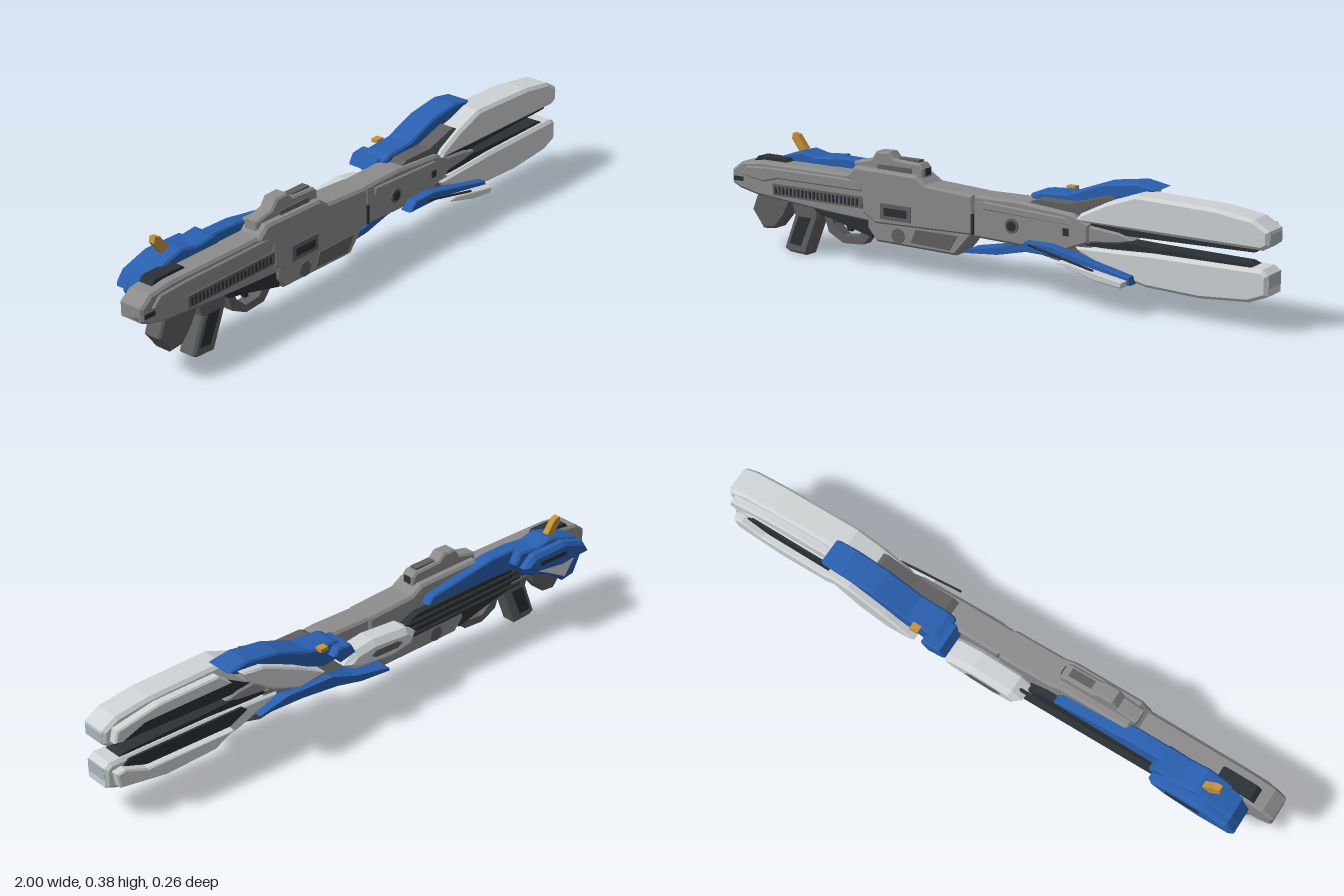
import * as THREE from 'three';

const mat = (name, color) => {
  const m = new THREE.MeshStandardMaterial({ color });
  m.name = name;
  return m;
};

export function createModel() {
  const root = new THREE.Group();
  root.name = 'rifle';
  const grey = mat('body grey', 0x8c8c8c);
  const dark = mat('dark grey', 0x606060);
  const black = mat('charcoal', 0x2b3135);
  const white = mat('pale grey', 0xcfd3d5);
  const blue = mat('blue', 0x2a60b0);
  const orange = mat('amber', 0xc8923a);
  const tint = mat('muzzle tint', 0xa9b6c0);

  // side profile extruded from z0 to z1, with chamfered rims of size b
  const plate = (name, m, pts, z0, z1, b = 0) => {
    const shape = new THREE.Shape(pts.map(p => new THREE.Vector2(p[0], p[1])));
    const g = new THREE.ExtrudeGeometry(shape, {
      depth: z1 - z0 - 2 * b, bevelEnabled: b > 0, bevelSize: b, bevelThickness: b,
      bevelOffset: -b, bevelSegments: 1,
    });
    g.translate(0, 0, z0 + b);
    const mesh = new THREE.Mesh(g, m);
    mesh.name = name;
    root.add(mesh);
    return mesh;
  };
  const box = (name, m, x0, x1, y0, y1, z0, z1) => {
    const mesh = new THREE.Mesh(new THREE.BoxGeometry(x1 - x0, y1 - y0, z1 - z0), m);
    mesh.position.set((x0 + x1) / 2, (y0 + y1) / 2, (z0 + z1) / 2);
    mesh.name = name;
    root.add(mesh);
    return mesh;
  };
  const disc = (name, m, x, y, z, r, h) => {
    const mesh = new THREE.Mesh(new THREE.CylinderGeometry(r, r, h, 20), m);
    mesh.rotation.x = Math.PI / 2;
    mesh.position.set(x, y, z);
    mesh.name = name;
    root.add(mesh);
  };
  const rod = (name, m, a, b, r) => {
    const A = new THREE.Vector3(...a), B = new THREE.Vector3(...b);
    const mesh = new THREE.Mesh(new THREE.CylinderGeometry(r, r, A.distanceTo(B), 8), m);
    mesh.position.copy(A).add(B).multiplyScalar(0.5);
    mesh.quaternion.setFromUnitVectors(new THREE.Vector3(0, 1, 0), B.sub(A).normalize());
    mesh.name = name;
    root.add(mesh);
  };

  // stock
  plate('stock', grey, [[-1, 0.215], [-1, 0.26], [-0.96, 0.29], [-0.88, 0.3], [-0.42, 0.3], [-0.42, 0.15],
    [-0.6, 0.16], [-0.78, 0.175], [-0.9, 0.185], [-0.97, 0.2]], -0.028, 0.063, 0.008);
  plate('stockTopRail', black, [[-0.93, 0.29], [-0.91, 0.31], [-0.8, 0.31], [-0.78, 0.29]], -0.02, 0.03);
  plate('stockCheekPanel', grey, [[-0.96, 0.25], [-0.93, 0.28], [-0.82, 0.285], [-0.45, 0.285], [-0.45, 0.25], [-0.8, 0.25], [-0.86, 0.235]], 0.055, 0.07, 0.004);
  box('stockSlot', black, -0.99, -0.95, 0.225, 0.24, 0.058, 0.066);
  box('buttPlate', dark, -1, -0.995, 0.22, 0.255, -0.015, 0.05);
  plate('stockHook', dark, [[-0.9, 0.19], [-0.925, 0.13], [-0.88, 0.07], [-0.83, 0.075], [-0.79, 0.12], [-0.76, 0.18]], -0.012, 0.052, 0.006);
  // ribbed side rail, both sides
  for (const z of [-0.03, 0.065]) {
    box('sideRail', dark, -0.82, -0.45, 0.193, 0.232, z - 0.004, z + 0.004);
    for (let i = 0; i < 22; i++) {
      const x = -0.81 + i * 0.016;
      box('railRib', black, x, x + 0.007, 0.2, 0.225, z - 0.007, z + 0.007);
    }
  }

  // grip and trigger guard
  plate('grip', dark, [[-0.76, 0.18], [-0.745, 0.13], [-0.79, 0.015], [-0.77, 0.004], [-0.7, 0], [-0.645, 0.135], [-0.64, 0.18]], -0.01, 0.052, 0.007);
  for (const z of [-0.011, 0.053])
    plate('gripInset', black, [[-0.725, 0.13], [-0.765, 0.035], [-0.72, 0.03], [-0.675, 0.13]], z - 0.002, z + 0.002);
  plate('underBody', black, [[-0.66, 0.17], [-0.64, 0.15], [-0.58, 0.14], [-0.42, 0.1], [-0.42, 0.19]], -0.022, 0.058);
  plate('triggerGuard', dark, [[-0.63, 0.15], [-0.61, 0.09], [-0.55, 0.06], [-0.47, 0.065], [-0.43, 0.11], [-0.43, 0.15],
    [-0.46, 0.13], [-0.49, 0.09], [-0.55, 0.085], [-0.59, 0.12], [-0.6, 0.15]], 0, 0.04);
  plate('trigger', black, [[-0.56, 0.15], [-0.54, 0.1], [-0.525, 0.1], [-0.53, 0.15]], 0.012, 0.028);

  // receiver
  plate('receiver', grey, [[-0.52, 0.29], [-0.48, 0.33], [-0.24, 0.325], [-0.2, 0.3], [-0.02, 0.29], [-0.01, 0.16],
    [-0.4, 0.15], [-0.45, 0.18], [-0.46, 0.27]], -0.034, 0.07, 0.008);
  plate('magazineHousing', grey, [[-0.435, 0.17], [-0.435, 0.13], [-0.4, 0.09], [-0.09, 0.085], [-0.06, 0.12], [-0.02, 0.17]], -0.028, 0.064, 0.008);
  for (const z of [-0.035, 0.071]) {
    box('receiverFrame', dark, -0.375, -0.255, 0.17, 0.222, z - 0.002, z + 0.002);
    box('receiverWindow', black, -0.36, -0.27, 0.183, 0.209, z - 0.004, z + 0.004);
    box('receiverSeam', black, -0.024, -0.014, 0.165, 0.23, z - 0.003, z + 0.003);
  }
  disc('housingPin', dark, -0.31, 0.12, 0.018, 0.025, 0.098);
  plate('housingPanel', dark, [[-0.24, 0.15], [-0.26, 0.105], [-0.11, 0.1], [-0.08, 0.15]], 0.06, 0.067);

  // sight block
  plate('sightBlock', grey, [[-0.5, 0.31], [-0.5, 0.34], [-0.43, 0.355], [-0.41, 0.383], [-0.36, 0.385], [-0.34, 0.365],
    [-0.24, 0.36], [-0.225, 0.345], [-0.225, 0.31]], -0.008, 0.045, 0.006);
  box('sightTop', dark, -0.33, -0.25, 0.352, 0.368, 0.005, 0.032);
  box('sightLens', black, -0.226, -0.222, 0.322, 0.345, 0.005, 0.032);
  box('sightSide', dark, -0.4, -0.27, 0.322, 0.342, 0.04, 0.05);

  // fore body
  plate('foreBody', grey, [[-0.02, 0.29], [0.14, 0.292], [0.34, 0.275], [0.4, 0.25], [0.4, 0.19], [0.3, 0.15], [0.15, 0.15], [-0.02, 0.155]], -0.03, 0.066, 0.008);
  plate('foreSpine', dark, [[0.16, 0.28], [0.2, 0.3], [0.32, 0.3], [0.44, 0.335], [0.5, 0.3], [0.36, 0.26]], -0.02, 0.05);
  plate('foreKeel', dark, [[0.14, 0.17], [0.24, 0.13], [0.42, 0.1], [0.5, 0.12], [0.4, 0.18]], -0.02, 0.06);
  disc('forePortRim', dark, 0.125, 0.21, 0.066, 0.024, 0.008);
  disc('forePort', black, 0.125, 0.21, 0.068, 0.016, 0.009);
  plate('forePanel', grey, [[0.02, 0.275], [0.32, 0.262], [0.35, 0.24], [0.02, 0.25]], 0.06, 0.073, 0.003);
  box('foreLatch', black, 0.31, 0.33, 0.205, 0.228, 0.062, 0.07);

  // twin barrel prongs
  const prong = (name, pts, inner) => plate(name, white, pts, -0.03, 0.07, 0.01);
  prong('upperProng', [[0.35, 0.255], [0.37, 0.28], [0.46, 0.325], [0.56, 0.36], [0.83, 0.352], [0.95, 0.335], [1, 0.305], [1, 0.262], [0.98, 0.247], [0.62, 0.25]]);
  prong('lowerProng', [[0.35, 0.175], [0.62, 0.188], [0.98, 0.19], [1, 0.175], [1, 0.112], [0.94, 0.088], [0.78, 0.076], [0.6, 0.083], [0.5, 0.105], [0.37, 0.155]]);
  box('upperMuzzle', tint, 0.996, 1.001, 0.262, 0.296, -0.02, 0.058);
  box('lowerMuzzle', tint, 0.996, 1.001, 0.135, 0.176, -0.02, 0.058);
  // inner rails between the prongs
  plate('upperInnerRail', black, [[0.36, 0.26], [0.96, 0.255], [0.95, 0.236], [0.62, 0.23], [0.36, 0.226]], -0.015, 0.052);
  plate('lowerInnerRail', black, [[0.36, 0.18], [0.96, 0.182], [0.92, 0.198], [0.6, 0.203], [0.36, 0.212]], -0.015, 0.052);
  plate('railRoot', grey, [[0.34, 0.25], [0.5, 0.235], [0.55, 0.218], [0.5, 0.202], [0.34, 0.185]], -0.022, 0.06, 0.006);
  // rear faces of the prongs
  plate('upperRearRecess', black, [[0.48, 0.262], [0.55, 0.3], [0.86, 0.295], [0.94, 0.27], [0.92, 0.255], [0.5, 0.254]], -0.036, -0.028);
  plate('lowerRearRecess', black, [[0.48, 0.168], [0.5, 0.183], [0.92, 0.184], [0.94, 0.168], [0.86, 0.14], [0.55, 0.136]], -0.036, -0.028);
  plate('upperRearCover', white, [[0.55, 0.3], [0.6, 0.342], [0.82, 0.338], [0.97, 0.31], [0.98, 0.27], [0.95, 0.265], [0.87, 0.296]], -0.058, -0.02, 0.005);
  plate('lowerRearCover', white, [[0.55, 0.135], [0.87, 0.139], [0.95, 0.17], [0.98, 0.165], [0.97, 0.115], [0.8, 0.088], [0.62, 0.095]], -0.058, -0.02, 0.005);

  // upper fin on the rear side
  plate('upperFin', blue, [[0.14, 0.25], [0.155, 0.3], [0.18, 0.312], [0.28, 0.318], [0.4, 0.362], [0.52, 0.379], [0.595, 0.366],
    [0.54, 0.34], [0.42, 0.315], [0.32, 0.275], [0.22, 0.24]], -0.095, 0, 0.006);
  plate('upperFinLiner', white, [[0.24, 0.24], [0.35, 0.3], [0.48, 0.355], [0.56, 0.362], [0.54, 0.325], [0.44, 0.26], [0.34, 0.225]], -0.12, -0.03, 0.006);
  plate('finTrim', blue, [[0.12, 0.265], [0.14, 0.3], [0.19, 0.305], [0.21, 0.28], [0.18, 0.25]], -0.125, -0.02, 0.005);
  box('finLatch', orange, 0.225, 0.255, 0.31, 0.322, -0.115, -0.09);

  // lower fins
  plate('lowerFin', blue, [[-0.08, 0.087], [-0.08, 0.097], [0.06, 0.125], [0.16, 0.16], [0.34, 0.165], [0.45, 0.14], [0.28, 0.135], [0.14, 0.12], [0.04, 0.097]], -0.058, 0.02);
  box('lowerFinLatch', orange, 0.3, 0.36, 0.128, 0.14, -0.04, -0.015);
  plate('frontFin', blue, [[0.16, 0.145], [0.19, 0.175], [0.28, 0.175], [0.56, 0.115], [0.565, 0.09], [0.45, 0.115], [0.3, 0.142]], 0.06, 0.1, 0.003);
  plate('frontFinLiner', white, [[0.32, 0.135], [0.36, 0.138], [0.555, 0.105], [0.55, 0.086], [0.46, 0.096]], 0.08, 0.13, 0.003);
  rod('frontFinRod', black, [0.22, 0.174, 0.121], [0.45, 0.125, 0.121], 0.004);

  // rear side pod, cables and guard
  plate('sidePod', white, [[-0.15, 0.225], [-0.11, 0.252], [0.03, 0.262], [0.11, 0.25], [0.15, 0.215], [0.1, 0.185], [-0.05, 0.172], [-0.13, 0.185]], -0.115, -0.025, 0.018);
  plate('sidePodInset', dark, [[-0.08, 0.218], [-0.06, 0.228], [0.03, 0.23], [0.05, 0.218], [0.03, 0.208], [-0.06, 0.206]], -0.118, -0.11);
  for (const y of [0.195, 0.218, 0.241])
    rod('sideCable', black, [-0.64, y + 0.01, -0.075], [-0.12, y - 0.005, -0.075], 0.006);
  plate('sideGuard', black, [[-0.62, 0.26], [-0.2, 0.25], [-0.14, 0.225], [-0.2, 0.185], [-0.62, 0.195]], -0.06, -0.025);
  plate('blueStrip', blue, [[-0.63, 0.332], [-0.52, 0.33], [-0.46, 0.32], [-0.26, 0.29], [-0.24, 0.265], [-0.63, 0.255]], -0.065, -0.012, 0.005);

  // rear shell
  plate('shellTop', blue, [[-0.92, 0.24], [-0.89, 0.295], [-0.8, 0.325], [-0.76, 0.335], [-0.7, 0.322], [-0.62, 0.33], [-0.6, 0.29],
    [-0.64, 0.24], [-0.76, 0.2], [-0.83, 0.152], [-0.88, 0.16]], -0.098, -0.008, 0.006);
  plate('shellOuter', blue, [[-0.92, 0.245], [-0.89, 0.29], [-0.8, 0.318], [-0.66, 0.316], [-0.615, 0.28], [-0.68, 0.25], [-0.8, 0.235]], -0.13, -0.07, 0.012);
  plate('shellPanel', white, [[-0.87, 0.225], [-0.78, 0.23], [-0.69, 0.243], [-0.76, 0.208], [-0.83, 0.172]], -0.104, -0.096);
  box('shellVent', black, -0.8, -0.68, 0.275, 0.29, -0.133, -0.127);
  plate('shellLever', orange, [[-0.83, 0.365], [-0.825, 0.385], [-0.805, 0.38], [-0.77, 0.335], [-0.8, 0.325], [-0.815, 0.345]], -0.072, -0.05);

  return root;
}
